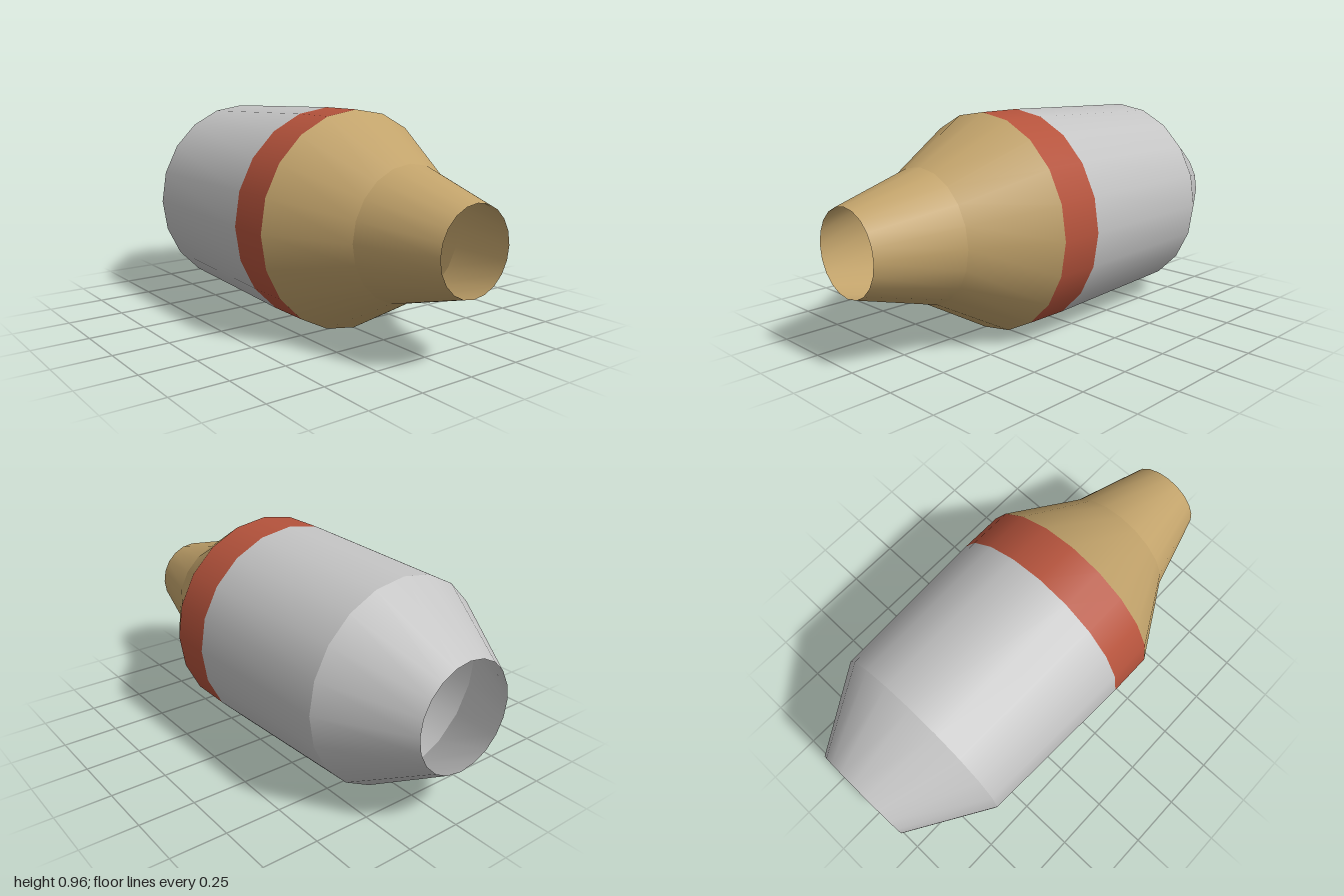
import * as THREE from 'three';

const SIDES = 20;
const AXIS_HEIGHT = 0.48;

function material(name, color) {
  const m = new THREE.MeshStandardMaterial({ color, side: THREE.DoubleSide });
  m.name = name;
  return m;
}

export function createModel() {
  const group = new THREE.Group();
  group.name = 'taperedTube';

  const grey = material('light grey', 0xc4c4c4);
  const red = material('brick red', 0xb5533c);
  const brass = material('brass', 0xc2a36b);

  // Open sections along x: name, start x, start radius, end x, end radius, colour
  const sections = [
    ['rearCone', -1, 0.235, -0.64, 0.455, grey],
    ['body', -0.64, 0.455, 0.1, 0.48, grey],
    ['band', 0.1, 0.48, 0.3, 0.48, red],
    ['frontShoulder', 0.3, 0.48, 0.64, 0.285, brass],
    ['nozzle', 0.64, 0.285, 1, 0.18, brass],
  ];

  for (const [name, x0, r0, x1, r1, mat] of sections) {
    const geometry = new THREE.CylinderGeometry(r1, r0, x1 - x0, SIDES, 1, true);
    geometry.rotateZ(-Math.PI / 2);
    const mesh = new THREE.Mesh(geometry, mat);
    mesh.name = name;
    mesh.position.set((x0 + x1) / 2, AXIS_HEIGHT, 0);
    group.add(mesh);
  }

  return group;
}
